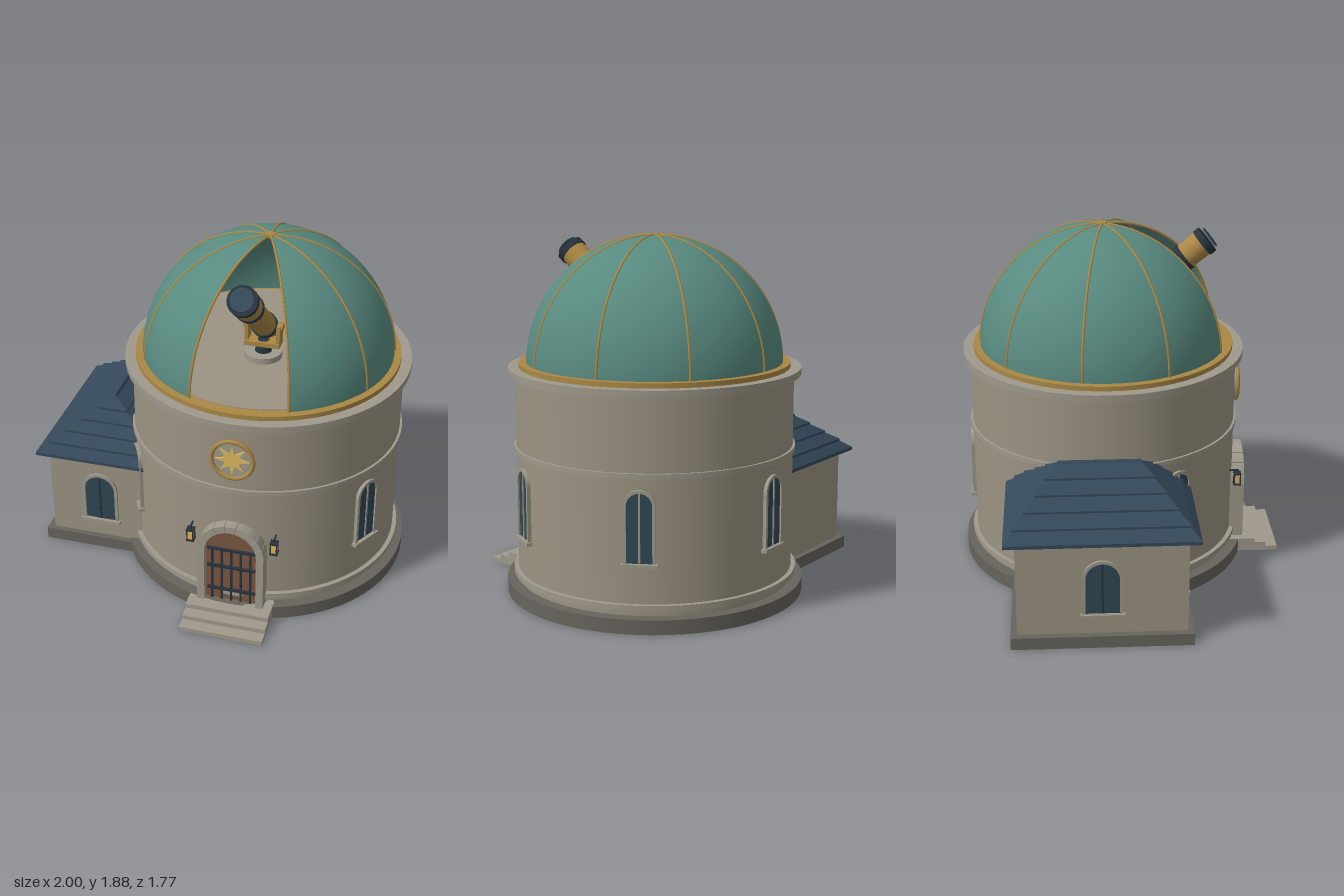
import * as THREE from 'three';

const mat = (name, color, side = THREE.FrontSide) => {
  const m = new THREE.MeshStandardMaterial({ color, side });
  m.name = name;
  return m;
};

export function createModel() {
  const stone = mat('stone', 0x9c9483), trim = mat('trim stone', 0x9f998b), plinthStone = mat('plinth stone', 0x67645d);
  const slate = mat('slate', 0x34495a), copper = mat('verdigris', 0x588a80, THREE.DoubleSide), brass = mat('brass', 0xaa8845);
  const wood = mat('wood', 0x7a563f), iron = mat('iron', 0x28333d), glass = mat('glass', 0x304854), lamp = mat('lamp', 0xdcb860);

  const model = new THREE.Group();
  const CX = 0.207, CZ = -0.095, R = 0.729;
  const add = (parent, name, geo, material, x = 0, y = 0, z = 0) => {
    const m = new THREE.Mesh(geo, material);
    m.name = name;
    m.position.set(x, y, z);
    parent.add(m);
    return m;
  };
  const group = (parent, name, x = 0, y = 0, z = 0) => {
    const g = new THREE.Group();
    g.name = name;
    g.position.set(x, y, z);
    parent.add(g);
    return g;
  };
  const box = (parent, name, material, w, h, d, x, y, z) => add(parent, name, new THREE.BoxGeometry(w, h, d), material, x, y, z);
  const drum = (parent, name, material, r, y0, y1, seg = 64, r2 = r) =>
    add(parent, name, new THREE.CylinderGeometry(r2, r, y1 - y0, seg), material, 0, (y0 + y1) / 2, 0);
  const extrude = (shape, depth) => new THREE.ExtrudeGeometry(shape, { depth, bevelEnabled: false, curveSegments: 16 });
  // Round-headed outline: half width, bottom, springing height
  const arch = (hw, y0, ys, C = THREE.Shape) => {
    const s = new C();
    s.moveTo(-hw, y0);
    s.lineTo(hw, y0);
    s.lineTo(hw, ys);
    s.absarc(0, ys, hw, 0, Math.PI, false);
    s.lineTo(-hw, y0);
    return s;
  };

  // Tower drum with its bands
  const tower = group(model, 'tower', CX, 0, CZ);
  drum(tower, 'plinth', plinthStone, 0.789, 0, 0.075);
  drum(tower, 'wall', stone, R, 0.075, 1.17);
  drum(tower, 'baseBand', trim, 0.753, 0.105, 0.135);
  drum(tower, 'stringCourse', trim, 0.742, 0.765, 0.79);
  drum(tower, 'cornice', trim, 0.767, 1.163, 1.2);
  drum(tower, 'domeRing', brass, 0.71, 1.2, 1.225);
  drum(tower, 'floor', stone, 0.65, 1.2, 1.229);

  // Dome with an open slit to the front, ribs on every seam
  const dome = group(tower, 'dome', 0, 1.203, 0);
  const phi0 = Math.PI * 0.625, sweep = Math.PI * 1.75, DR = 0.672;
  add(dome, 'domeShell', new THREE.SphereGeometry(DR, 64, 24, phi0, sweep, 0, Math.PI / 2), copper);
  for (let i = 0; i <= 8; i++) {
    const rib = add(dome, 'rib', new THREE.TorusGeometry(DR, 0.007, 6, 32, Math.PI / 2), brass);
    rib.rotation.y = phi0 + (sweep * i) / 8 + Math.PI;
  }
  add(dome, 'finial', new THREE.CylinderGeometry(0.025, 0.028, 0.016, 16), brass, 0, DR, 0);

  // Telescope on a fork mount, tilted 39 degrees upward
  const mount = group(tower, 'telescopeMount', 0, 0, 0.115);
  drum(mount, 'pier', trim, 0.1, 1.225, 1.262, 24);
  drum(mount, 'column', iron, 0.045, 1.262, 1.33, 16, 0.03);
  box(mount, 'forkBase', brass, 0.19, 0.025, 0.09, 0, 1.315, 0);
  for (const s of [-1, 1]) {
    box(mount, 'forkArm', brass, 0.02, 0.12, 0.07, s * 0.085, 1.365, 0);
    const pin = add(mount, 'trunnion', new THREE.CylinderGeometry(0.022, 0.022, 0.03, 16), brass, s * 0.09, 1.41, 0);
    pin.rotation.z = Math.PI / 2;
  }
  const scope = group(tower, 'telescope', 0, 1.78, 0.562);
  scope.rotation.x = Math.PI / 2 - THREE.MathUtils.degToRad(39);
  drum(scope, 'barrel', brass, 0.063, -0.68, -0.1, 32);
  drum(scope, 'dewShield', brass, 0.071, -0.16, -0.01, 32);
  drum(scope, 'breech', iron, 0.04, -0.75, -0.68, 24, 0.055);
  for (const [y, r] of [[-0.018, 0.078], [-0.165, 0.076], [-0.59, 0.07]]) drum(scope, 'collar', iron, r, y - 0.018, y + 0.018, 32);
  drum(scope, 'lens', slate, 0.06, 0.015, 0.021, 32);

  // Arched window: local +z faces outward, y0 is the sill
  const windowAt = (parent, x, y, z, ry, hw, h, bar) => {
    const w = group(parent, 'window', x, y, z);
    w.rotation.y = ry;
    const frame = arch(hw, 0, h - hw);
    frame.holes.push(arch(hw - 0.016, 0.012, h - hw, THREE.Path));
    add(w, 'windowFrame', extrude(frame, 0.035), trim, 0, 0, -0.02);
    add(w, 'pane', extrude(arch(hw - 0.014, 0.01, h - hw), 0.025), glass, 0, 0, -0.019);
    box(w, 'mullion', bar, 0.01, h - 0.03, 0.006, 0, h / 2, 0.008);
    box(w, 'sill', trim, hw * 2 + 0.022, 0.018, 0.045, 0, 0.002, 0.002);
  };
  for (const deg of [30, -30, -90, 150]) {
    const a = THREE.MathUtils.degToRad(deg);
    windowAt(tower, Math.cos(a) * R, 0.33, Math.sin(a) * R, Math.PI / 2 - a, 0.08, 0.38, trim);
  }

  // Entrance: stone jambs, arch blocks, plank door and iron grille
  const door = group(model, 'entrance', CX, 0, 0);
  const spring = 0.4;
  for (const s of [-1, 1]) box(door, 'jamb', trim, 0.04, spring - 0.07, 0.095, s * 0.16, (spring + 0.07) / 2, 0.6425);
  for (let i = 0; i < 9; i++) {
    const a0 = (Math.PI * i) / 9 + 0.008, a1 = (Math.PI * (i + 1)) / 9 - 0.008;
    const s = new THREE.Shape();
    s.absarc(0, spring, 0.18, a0, a1, false);
    s.absarc(0, spring, 0.14, a1, a0, true);
    add(door, 'archBlock', extrude(s, 0.095), trim, 0, 0, 0.595);
  }
  add(door, 'doorLeaf', extrude(arch(0.142, 0.07, spring), 0.06), wood, 0, 0, 0.595);
  for (let i = -2; i <= 2; i++) box(door, 'grilleBar', iron, 0.01, 0.335, 0.012, i * 0.052, 0.243, 0.66);
  for (const y of [0.145, 0.295, 0.408]) box(door, 'grilleStrap', iron, 0.26, 0.014, 0.014, 0, y, 0.662);
  [0.885, 0.82, 0.755].forEach((z, i) => box(door, 'step', trim, 0.452, 0.025, z - 0.58, 0, 0.0125 + i * 0.025, (z + 0.58) / 2));

  // Wall lanterns on either side of the door
  for (const s of [-1, 1]) {
    const l = group(door, 'lantern', s * 0.225, 0.46, 0.642);
    box(l, 'lampGlass', lamp, 0.028, 0.056, 0.028, 0, 0, 0);
    for (const y of [-0.032, 0.032]) box(l, 'lanternPlate', iron, 0.042, 0.009, 0.042, 0, y, 0);
    for (const x of [-1, 1]) for (const z of [-1, 1]) box(l, 'lanternPost', iron, 0.006, 0.06, 0.006, x * 0.016, 0, z * 0.016);
    add(l, 'lanternHook', new THREE.CylinderGeometry(0.004, 0.007, 0.02, 8), iron, 0, 0.045, 0);
    box(l, 'lanternArm', iron, 0.008, 0.008, 0.065, 0, 0.05, -0.025);
  }

  // Star medallion above the door
  const medal = group(model, 'medallion', CX, 0.97, 0.625);
  const plate = add(medal, 'medallionPlate', new THREE.CylinderGeometry(0.112, 0.112, 0.03, 40), trim, 0, 0, 0.002);
  plate.rotation.x = Math.PI / 2;
  add(medal, 'medallionRing', new THREE.TorusGeometry(0.109, 0.011, 8, 48), brass, 0, 0, 0.02);
  const star = new THREE.Shape();
  for (let i = 0; i < 16; i++) {
    const r = i % 2 ? 0.038 : 0.09, a = (i * Math.PI) / 8;
    star[i ? 'lineTo' : 'moveTo'](Math.cos(a) * r, Math.sin(a) * r);
  }
  add(medal, 'star', extrude(star, 0.009), lamp, 0, 0, 0.017);

  // Side annex
  const annex = group(model, 'annex', -0.62, 0, -0.147);
  box(annex, 'annexPlinth', plinthStone, 0.72, 0.066, 0.93, 0, 0.033, 0);
  box(annex, 'annexWall', stone, 0.648, 0.53, 0.866, 0, 0.325, 0);
  windowAt(annex, -0.034, 0.17, 0.433, 0, 0.102, 0.312, iron);
  windowAt(annex, -0.324, 0.17, 0, -Math.PI / 2, 0.102, 0.312, iron);

  // Hipped roof of overlapping slate courses, each a lip and a slope
  const course = (rings) => {
    const p = [], idx = [];
    for (const [hx, y, hz] of rings) p.push(-hx, y, hz, hx, y, hz, hx, y, -hz, -hx, y, -hz);
    for (let r = 0; r < rings.length - 1; r++)
      for (let i = 0; i < 4; i++) {
        const a = r * 4 + i, b = r * 4 + ((i + 1) % 4);
        idx.push(a, b, b + 4, a, b + 4, a + 4);
      }
    idx.push(0, 2, 1, 0, 3, 2);
    const g = new THREE.BufferGeometry();
    g.setAttribute('position', new THREE.Float32BufferAttribute(p, 3));
    g.setIndex(idx);
    const flat = g.toNonIndexed();
    flat.computeVertexNormals();
    return flat;
  };
  const N = 5, hx = (k) => 0.38 * (1 - k) + 0.001, hz = (k) => 0.489 - 0.28 * k, ry = (k) => 0.598 + 0.27 * k;
  for (let i = 0; i < N; i++) {
    const k = i / N, k1 = (i + 1) / N, o = i ? 0.01 : 0;
    add(annex, 'roofCourse', course([
      [hx(k) + o, ry(k) - 0.014, hz(k) + o],
      [hx(k) + o, ry(k) + 0.004, hz(k) + o],
      [hx(k1), ry(k1), hz(k1)],
    ]), slate);
  }
  add(annex, 'ridgeCap', course([[0.02, 0.85, 0.22], [0.001, 0.878, 0.21]]), slate);

  return model;
}
